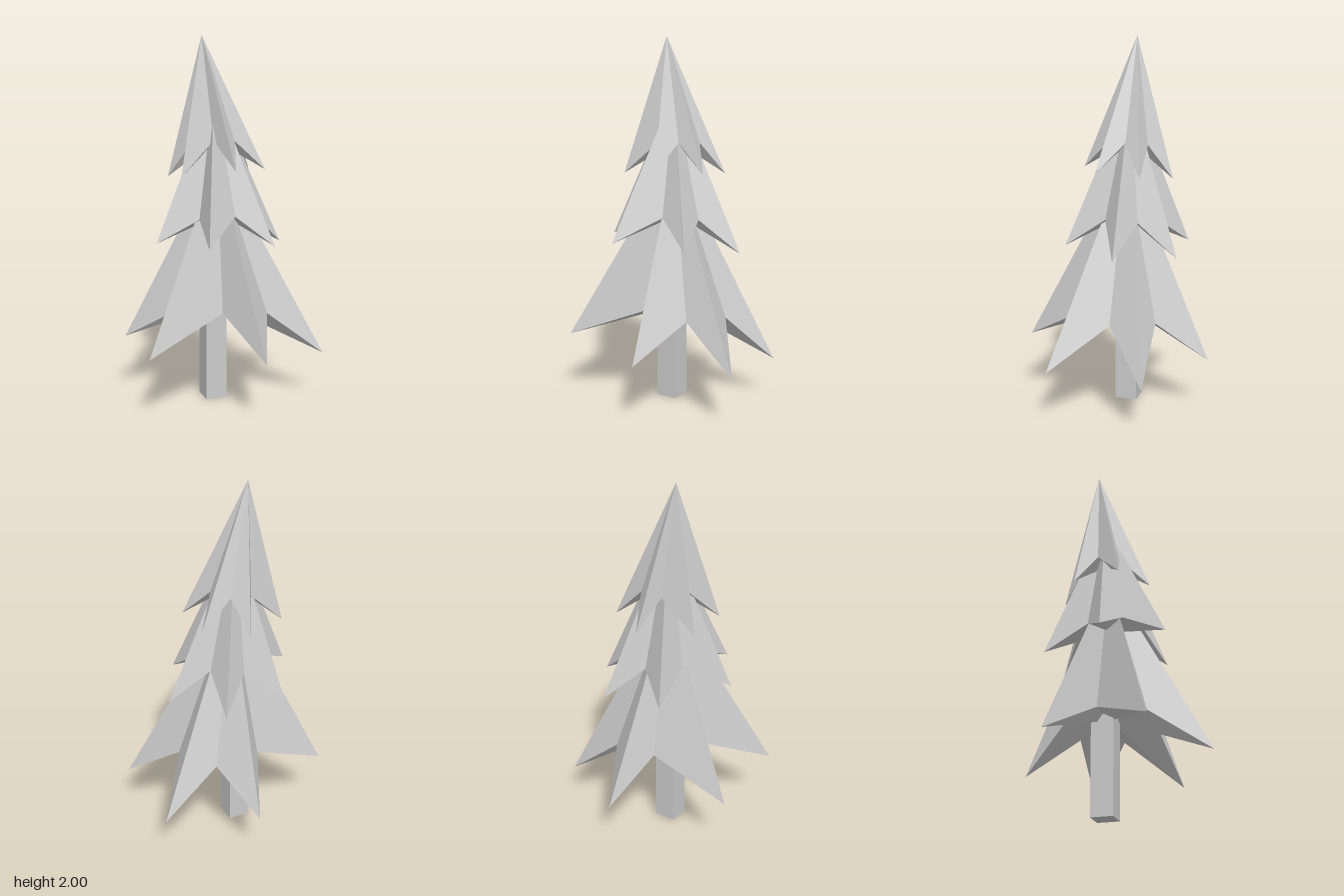
import * as THREE from 'three';

const material = new THREE.MeshStandardMaterial({ color: 0xcccccc, flatShading: true });

// Star-shaped cone: the rim alternates tip, valley, anticlockwise from above.
function branchTier(name, apex, hub, rim) {
  const positions = [];
  rim.forEach((point, i) => {
    const next = rim[(i + 1) % rim.length];
    positions.push(...apex, ...point, ...next); // sloping upper face
    positions.push(...hub, ...next, ...point); // underside
  });
  const geometry = new THREE.BufferGeometry();
  geometry.setAttribute('position', new THREE.Float32BufferAttribute(positions, 3));
  geometry.computeVertexNormals();
  const mesh = new THREE.Mesh(geometry, material);
  mesh.name = name;
  return mesh;
}

export function createModel() {
  const tree = new THREE.Group();
  tree.name = 'pineTree';

  // Square trunk
  const trunk = new THREE.Mesh(new THREE.BoxGeometry(0.12, 0.6, 0.12), material);
  trunk.position.set(-0.04, 0.3, -0.04);
  trunk.name = 'trunk';
  tree.add(trunk);

  // Wide lower branches
  tree.add(branchTier('lowerBranches', [-0.02, 1.36, -0.03], [0, 0.53, -0.03], [
    [0.5, 0.28, 0.25], [0.305, 0.505, -0.035],
    [0.49, 0.24, -0.26], [0.18, 0.5, -0.25],
    [0.05, 0.28, -0.51], [-0.07, 0.52, -0.25],
    [-0.5, 0.345, -0.215], [-0.19, 0.54, -0.04],
    [-0.5, 0.37, 0.295], [-0.065, 0.545, 0.19],
    [0.06, 0.345, 0.505], [0.19, 0.52, 0.187],
  ]));

  // Middle branches
  tree.add(branchTier('middleBranches', [-0.03, 1.72, -0.05], [0, 1.04, -0.03], [
    [0.37, 0.86, -0.07], [0.16, 1.03, -0.145],
    [0.175, 0.855, -0.36], [0, 1.02, -0.22],
    [-0.17, 0.89, -0.345], [-0.16, 1.03, -0.105],
    [-0.38, 0.915, 0.03], [-0.16, 1.04, 0.09],
    [-0.185, 0.925, 0.325], [0.02, 1.055, 0.15],
    [0.21, 0.9, 0.24], [0.17, 1.04, 0.03],
  ]));

  // Top branches with a leaning point
  tree.add(branchTier('topBranches', [-0.09, 2, -0.07], [-0.02, 1.44, -0.05], [
    [0.22, 1.29, 0.07], [0.12, 1.44, -0.065],
    [0.22, 1.27, -0.17], [0.055, 1.43, -0.17],
    [0.005, 1.25, -0.295], [-0.065, 1.42, -0.165],
    [-0.26, 1.245, -0.15], [-0.16, 1.43, -0.05],
    [-0.26, 1.27, 0.095], [-0.065, 1.45, 0.045],
    [0.005, 1.3, 0.2], [0.055, 1.445, 0.045],
  ]));

  return tree;
}
